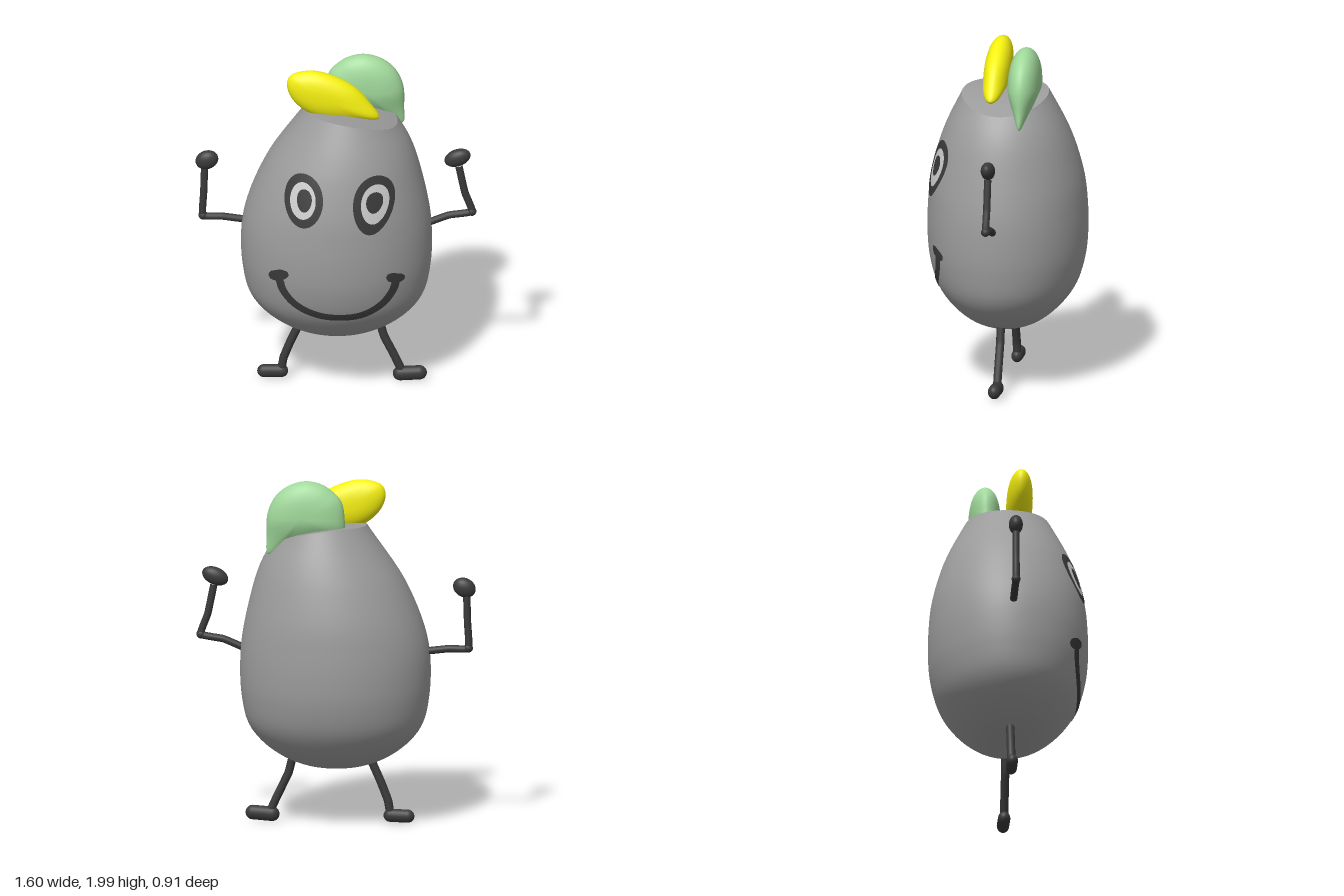
import * as THREE from 'three';
import { ParametricGeometry } from 'three/addons/geometries/ParametricGeometry.js';

const V = (x, y, z = 0) => new THREE.Vector3(x, y, z);
const material = (color, side = THREE.FrontSide) => new THREE.MeshStandardMaterial({ color, side });
const bodyMat = material(0x9c9c9c);
const darkMat = material(0x3a3a3a);
const inkMat = material(0x3a3a3a, THREE.DoubleSide);
const eyeMat = material(0xcccccc, THREE.DoubleSide);
const yellowMat = material(0xf5f010);
const greenMat = material(0xa0d89a);

function add(parent, name, geometry, mat) {
  const mesh = new THREE.Mesh(geometry, mat);
  mesh.name = name;
  parent.add(mesh);
  return mesh;
}
const surface = (fn, nu, nv) => new ParametricGeometry((u, v, t) => t.copy(fn(u, v)), nu, nv);

// Egg profile: half width, height, half depth
const profile = new THREE.CatmullRomCurve3([
  V(0.003, 0.328, 0.003), V(0.16, 0.342, 0.125), V(0.31, 0.40, 0.235), V(0.438, 0.5, 0.338),
  V(0.503, 0.6, 0.4), V(0.535, 0.75, 0.442), V(0.543, 0.9, 0.455), V(0.533, 1.05, 0.452),
  V(0.5, 1.2, 0.438), V(0.432, 1.4, 0.39), V(0.37, 1.53, 0.343), V(0.262, 1.73, 0.248),
]);
const samples = profile.getPoints(600);
const centreX = (y) => 0.085 * (Math.max(0, y - 0.9) / 0.83) ** 2;
const cutY = (x) => 1.737 - 0.52 * (x + 0.08) ** 2;

function bodyPoint(u, v) {
  const p = profile.getPoint(v);
  const a = u * Math.PI * 2;
  const x = centreX(p.y) + p.x * Math.cos(a);
  const bend = (Math.max(0, p.y - 1.46) / 0.27) ** 2;
  return V(x, p.y + bend * (cutY(x) - 1.73), -p.z * Math.sin(a));
}

// Places a flat (x, y) point just above the front of the egg
function onFront(x, y) {
  const i = Math.max(1, samples.findIndex((p) => p.y >= y));
  const a = samples[i - 1], b = samples[i];
  const p = a.clone().lerp(b, (y - a.y) / (b.y - a.y));
  const c = centreX(y);
  const k = (x - c) / p.x;
  return V(c + (x - c) * 1.009, y, p.z * Math.sqrt(Math.max(0, 1 - k * k)) * 1.009);
}

// Egg-shaped outline with taper towards the bottom and a tilt
function oval(cx, cy, rx, ry, taper = 0, tilt = 0) {
  return (u) => {
    const a = u * Math.PI * 2;
    const x = rx * Math.cos(a) * (1 + taper * Math.sin(a));
    const y = ry * Math.sin(a);
    return [cx + x * Math.cos(tilt) - y * Math.sin(tilt), cy + x * Math.sin(tilt) + y * Math.cos(tilt)];
  };
}

// Painted area between two outlines
function ring(outer, inner) {
  return surface((u, v) => {
    const [ax, ay] = outer(u), [bx, by] = inner(u);
    return onFront(ax + (bx - ax) * v, ay + (by - ay) * v);
  }, 48, 5);
}

// Painted brush stroke with rounded ends
function stroke(points, width, segments) {
  const curve = new THREE.CatmullRomCurve3(points.map(([x, y]) => V(x, y)));
  return surface((u, v) => {
    const p = curve.getPoint(u), t = curve.getTangent(u);
    const round = Math.sqrt(Math.min(1, 0.1 + Math.min(u, 1 - u) * segments / 4));
    const w = (v - 0.5) * width * round;
    return onFront(p.x - t.y * w, p.y + t.x * w);
  }, segments, 4);
}

// Puffy leaf: a closed outline shrinking towards both faces, thinner near its foot
function leaf(points, cx, cy, z, half, footY, footWidth) {
  const outline = new THREE.CatmullRomCurve3(points.map(([x, y]) => V(x, y)), true);
  return surface((u, v) => {
    const a = (v - 0.5) * Math.PI * 0.9999;
    const p = outline.getPoint(1 - u);
    const r = Math.cos(a) ** 0.8;
    const y = cy + (p.y - cy) * r;
    const thin = THREE.MathUtils.lerp(footWidth, 1, THREE.MathUtils.smoothstep(y, footY, footY + 0.22));
    return V(cx + (p.x - cx) * r, y, z + half * thin * Math.sin(a));
  }, 72, 32);
}

// Bent limb along a path, with a hand or foot at its end
function limb(parent, name, points, radius, endName, endGeometry, x, y, tilt) {
  const group = new THREE.Group();
  group.name = name;
  parent.add(group);
  const path = new THREE.CatmullRomCurve3(points.map((p) => V(...p)), false, 'catmullrom', 0.2);
  add(group, name + 'Tube', new THREE.TubeGeometry(path, 48, radius, 14), darkMat);
  add(group, name + 'Root', new THREE.SphereGeometry(radius, 14, 10), darkMat).position.set(...points[0], 0);
  const tip = add(group, endName, endGeometry, darkMat);
  tip.position.set(x, y, 0);
  tip.rotation.z = tilt;
  return group;
}
const hand = (rx, ry) => new THREE.SphereGeometry(1, 28, 18).scale(rx, ry, 0.04);
const foot = (radius, length) => new THREE.CapsuleGeometry(radius, length, 10, 20).rotateZ(Math.PI / 2).scale(1, 1, 0.85);

export function createModel() {
  const model = new THREE.Group();
  model.name = 'eggFigure';

  // Egg body and its sloping cut top
  add(model, 'body', surface(bodyPoint, 96, 80), bodyMat);
  add(model, 'cutTop', surface((u, v) => {
    const rim = bodyPoint(u, 1);
    const r = Math.max(0.002, 1 - v);
    const x = 0.085 + (rim.x - 0.085) * r;
    return V(x, cutY(x), rim.z * r);
  }, 96, 12), bodyMat);

  // Eyes: dark rim, light ring, pupil
  const face = new THREE.Group();
  face.name = 'face';
  model.add(face);
  const eyes = {
    rightEye: [oval(-0.172, 1.31, 0.11, 0.15, 0.05, -0.08), oval(-0.176, 1.312, 0.073, 0.103, 0, -0.1), oval(-0.168, 1.315, 0.042, 0.064, 0.1, -0.1), [-0.168, 1.315]],
    leftEye: [oval(0.222, 1.29, 0.115, 0.168, 0.14, -0.12), oval(0.23, 1.297, 0.078, 0.113, 0.1, -0.1), oval(0.228, 1.307, 0.047, 0.06, 0.1, -0.1), [0.228, 1.307]],
  };
  for (const [name, [rim, white, pupil, centre]] of Object.entries(eyes)) {
    add(face, name + 'Rim', ring(rim, white), inkMat);
    add(face, name + 'White', ring(white, pupil), eyeMat);
    add(face, name + 'Pupil', ring(pupil, () => centre), inkMat);
  }

  // Smile with a short tick at each corner
  add(face, 'mouth', stroke([[-0.31, 0.84], [-0.292, 0.755], [-0.22, 0.665], [-0.1, 0.605], [0.03, 0.587],
    [0.16, 0.602], [0.27, 0.665], [0.33, 0.745], [0.352, 0.82]], 0.048, 64), inkMat);
  add(face, 'mouthCornerRight', stroke([[-0.367, 0.81], [-0.32, 0.838], [-0.258, 0.865]], 0.062, 14), inkMat);
  add(face, 'mouthCornerLeft', stroke([[0.298, 0.85], [0.345, 0.822], [0.395, 0.805]], 0.058, 14), inkMat);

  // Arms, with a rounded elbow
  const arms = [
    limb(model, 'rightArm', [[-0.53, 1.01], [-0.65, 1.025], [-0.76, 1.03], [-0.755, 1.18], [-0.75, 1.35]], 0.021,
      'rightHand', hand(0.067, 0.055), -0.737, 1.38, 0.45),
    limb(model, 'leftArm', [[0.53, 1.01], [0.64, 1.055], [0.77, 1.08], [0.73, 1.2], [0.695, 1.37]], 0.021,
      'leftHand', hand(0.078, 0.05), 0.688, 1.418, 0.4),
  ];
  [[-0.76, 1.03], [0.77, 1.08]].forEach(([x, y], i) => {
    add(arms[i], 'elbow', new THREE.SphereGeometry(0.026, 14, 10), darkMat).position.set(x, y, 0);
  });

  // Legs
  limb(model, 'rightLeg', [[-0.2, 0.38], [-0.26, 0.245], [-0.3, 0.14], [-0.312, 0.07]], 0.024,
    'rightFoot', foot(0.038, 0.1), -0.363, 0.052, 0.03);
  limb(model, 'leftLeg', [[0.245, 0.38], [0.27, 0.285], [0.33, 0.16], [0.37, 0.07]], 0.024,
    'leftFoot', foot(0.042, 0.11), 0.417, 0.052, 0.07);

  // Leaves on top, their lower edges sunk into the body
  add(model, 'yellowLeaf', leaf([[-0.28, 1.9], [-0.26, 1.95], [-0.2, 1.975], [-0.12, 1.98], [0, 1.945], [0.11, 1.88],
    [0.19, 1.79], [0.245, 1.695], [0.13, 1.685], [0, 1.687], [-0.11, 1.705], [-0.2, 1.755], [-0.26, 1.825]],
    -0.04, 1.825, 0.062, 0.074, 1.6, 0.9), yellowMat);
  add(model, 'greenLeaf', leaf([[-0.065, 1.8], [-0.045, 1.89], [0, 1.94], [0.06, 1.98], [0.15, 2], [0.25, 1.975], [0.33, 1.91],
    [0.375, 1.81], [0.38, 1.68], [0.372, 1.575], [0.28, 1.61], [0.1, 1.65], [-0.055, 1.7]],
    0.17, 1.8, -0.125, 0.09, 1.57, 0.4), greenMat);

  return model;
}
